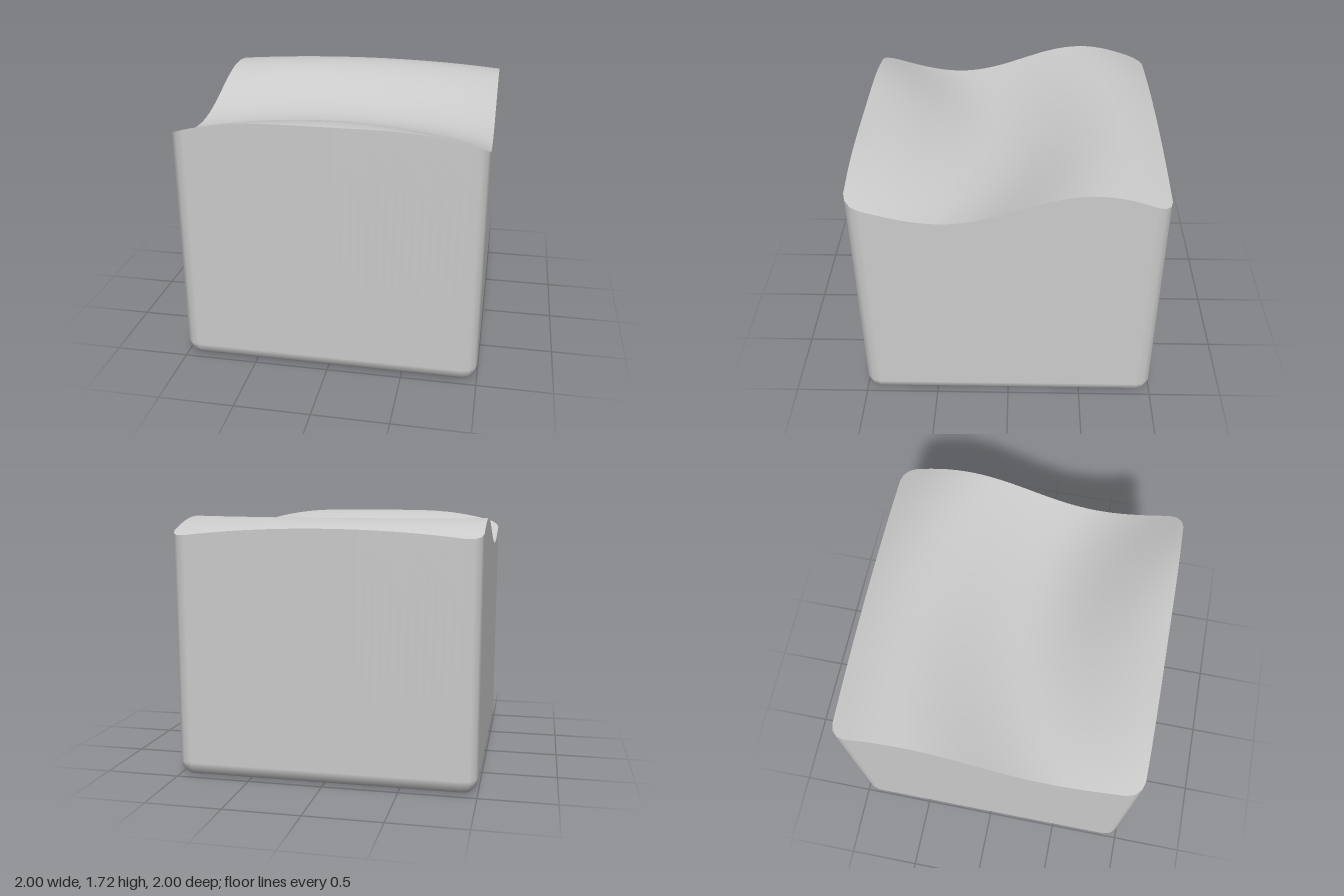
import * as THREE from 'three';

const HALF = 1, RADIUS = 0.1, CORNER_STEPS = 3, SIDE_STEPS = 32, TOP_RINGS = 40;

// Height of the top: ripples running out from a point ahead of the block
const MEAN = 1.61, AMPLITUDE = 0.11, SOURCE_Z = 2, TROUGH = 1.87, K = Math.PI / 0.85;
const distance = (x, z) => Math.hypot(x, z - SOURCE_Z);
const height = (x, z) => MEAN - AMPLITUDE * Math.cos(K * (distance(x, z) - TROUGH));

function topNormal(x, z) {
  const d = distance(x, z);
  const slope = AMPLITUDE * K * Math.sin(K * (d - TROUGH));
  return new THREE.Vector3(-slope * x / d, 1, -slope * (z - SOURCE_Z) / d).normalize();
}

// Rounded square outline: core points, each with an outward direction
function makeOutline() {
  const core = HALF - RADIUS, points = [];
  const corner = q => {
    const a = (q + 0.5) * Math.PI / 2;
    return [Math.sign(Math.cos(a)) * core, Math.sign(Math.sin(a)) * core];
  };
  for (let q = 0; q < 4; q++) {
    const [cx, cz] = corner(q), [nx, nz] = corner(q + 1);
    for (let i = 0; i <= CORNER_STEPS; i++) {
      const a = (q + i / CORNER_STEPS) * Math.PI / 2;
      points.push({ cx, cz, dx: Math.cos(a), dz: Math.sin(a) });
    }
    const a = (q + 1) * Math.PI / 2;
    for (let i = 1; i < SIDE_STEPS; i++) {
      const t = i / SIDE_STEPS;
      points.push({ cx: cx + (nx - cx) * t, cz: cz + (nz - cz) * t, dx: Math.cos(a), dz: Math.sin(a) });
    }
  }
  return points;
}

// Skin a stack of closed rings; each ring maps an outline point to position and normal
function skin(outline, rings) {
  const positions = [], normals = [], index = [], n = outline.length;
  rings.forEach((ring, v) => outline.forEach((point, u) => {
    const [p, normal] = ring(point);
    positions.push(p.x, p.y, p.z);
    normals.push(normal.x, normal.y, normal.z);
    if (v === rings.length - 1) return;
    const a = v * n + u, b = v * n + (u + 1) % n;
    index.push(a, a + n, b, b, a + n, b + n);
  }));
  const geometry = new THREE.BufferGeometry();
  geometry.setAttribute('position', new THREE.Float32BufferAttribute(positions, 3));
  geometry.setAttribute('normal', new THREE.Float32BufferAttribute(normals, 3));
  geometry.setIndex(index);
  return geometry;
}

export function createModel() {
  const group = new THREE.Group();
  group.name = 'waveToppedBlock';
  const material = new THREE.MeshStandardMaterial({ color: 0xcccccc });
  const outline = makeOutline();
  const add = (name, rings) => {
    const mesh = new THREE.Mesh(skin(outline, rings), material);
    mesh.name = name;
    group.add(mesh);
  };

  // Body: flat underside, rounded lower edge, straight walls up to the wave
  const down = new THREE.Vector3(0, -1, 0);
  const body = [() => [new THREE.Vector3(), down]];
  for (let i = 0; i <= CORNER_STEPS; i++) {
    const a = i / CORNER_STEPS * Math.PI / 2, s = Math.sin(a), c = Math.cos(a);
    body.push(p => [
      new THREE.Vector3(p.cx + p.dx * RADIUS * s, RADIUS * (1 - c), p.cz + p.dz * RADIUS * s),
      new THREE.Vector3(p.dx * s, -c, p.dz * s),
    ]);
  }
  body.push(p => {
    const x = p.cx + p.dx * RADIUS, z = p.cz + p.dz * RADIUS;
    return [new THREE.Vector3(x, height(x, z), z), new THREE.Vector3(p.dx, 0, p.dz)];
  });
  add('body', body);

  // Wavy top, from the rim in to the centre
  const top = [];
  for (let i = 0; i <= TOP_RINGS; i++) {
    const s = 1 - i / TOP_RINGS;
    top.push(p => {
      const x = (p.cx + p.dx * RADIUS) * s, z = (p.cz + p.dz * RADIUS) * s;
      return [new THREE.Vector3(x, height(x, z), z), topNormal(x, z)];
    });
  }
  add('wavyTop', top);
  return group;
}
